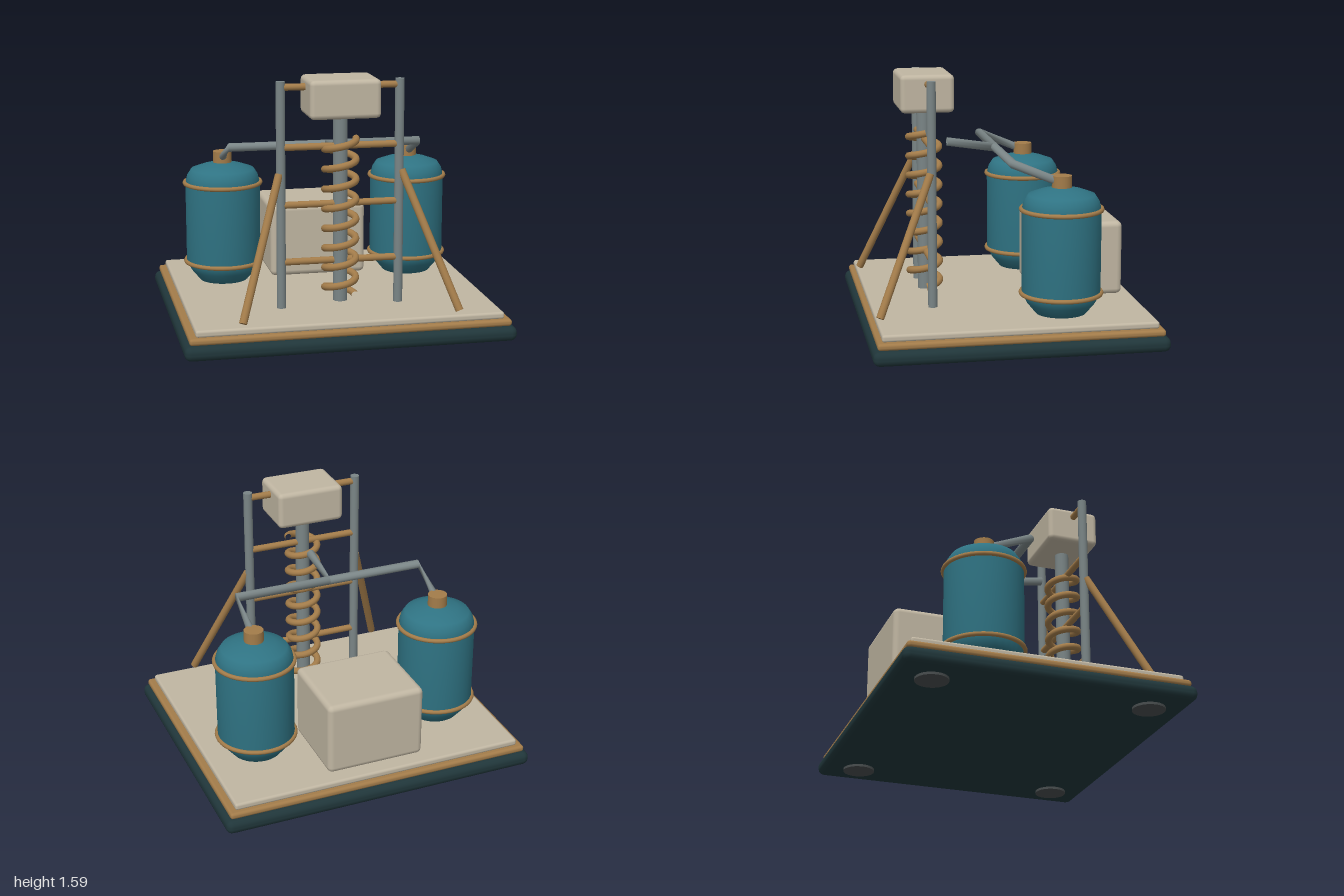
import * as THREE from 'three';
import { RoundedBoxGeometry } from 'three/addons/geometries/RoundedBoxGeometry.js';

const mat = (name, color, side = THREE.FrontSide) => {
  const m = new THREE.MeshStandardMaterial({ color, side });
  m.name = name;
  return m;
};

// Helix rising around the y axis, starting at +x and turning towards the back
class Helix extends THREE.Curve {
  constructor(radius, y0, y1, turns) {
    super();
    Object.assign(this, { radius, y0, y1, turns });
  }
  getPoint(t, target = new THREE.Vector3()) {
    const a = t * this.turns * Math.PI * 2;
    return target.set(this.radius * Math.cos(a), this.y0 + (this.y1 - this.y0) * t, -this.radius * Math.sin(a));
  }
}

// Pipe lofted through rings, each given as a centre and the flat heading it faces
function pipeGeometry(rings, radius, sides = 12) {
  const pos = [], index = [];
  const up = new THREE.Vector3(0, 1, 0);
  for (const [centre, heading] of rings) {
    const right = new THREE.Vector3(...heading).cross(up);
    for (let j = 0; j < sides; j++) {
      const a = (j / sides) * Math.PI * 2;
      const p = new THREE.Vector3(...centre)
        .addScaledVector(right, radius * Math.cos(a))
        .addScaledVector(up, radius * Math.sin(a));
      pos.push(p.x, p.y, p.z);
    }
  }
  for (let i = 0; i < rings.length - 1; i++) {
    for (let j = 0; j < sides; j++) {
      const a = i * sides + j, b = i * sides + (j + 1) % sides;
      index.push(a, b, a + sides, b, b + sides, a + sides);
    }
  }
  const g = new THREE.BufferGeometry();
  g.setAttribute('position', new THREE.Float32BufferAttribute(pos, 3));
  g.setIndex(index);
  g.computeVertexNormals();
  return g;
}

export function createModel() {
  const model = new THREE.Group();
  model.name = 'distillingRig';

  const dark = mat('darkGreen', 0x20363a);
  const brass = mat('brass', 0xa37c4a);
  const cream = mat('cream', 0xc0b6a2);
  const teal = mat('teal', 0x2f7383);
  const steel = mat('steel', 0x7a8586, THREE.DoubleSide);
  const rubber = mat('rubberGrey', 0x484d4e);

  const add = (name, geometry, material, x = 0, y = 0, z = 0, parent = model) => {
    const mesh = new THREE.Mesh(geometry, material);
    mesh.name = name;
    mesh.position.set(x, y, z);
    parent.add(mesh);
    return mesh;
  };
  // Box between two heights
  const box = (name, material, w, d, y0, y1, z, r) =>
    add(name, new RoundedBoxGeometry(w, y1 - y0, d, 2, r), material, 0, (y0 + y1) / 2, z);
  // Round bar between two points
  const bar = (name, material, from, to, r) => {
    const a = new THREE.Vector3(...from), b = new THREE.Vector3(...to);
    const mid = a.clone().add(b).multiplyScalar(0.5);
    const mesh = add(name, new THREE.CylinderGeometry(r, r, a.distanceTo(b), 16), material, mid.x, mid.y, mid.z);
    mesh.quaternion.setFromUnitVectors(new THREE.Vector3(0, 1, 0), b.sub(a).normalize());
  };

  // Stepped base with four feet
  box('basePlinth', dark, 2, 1.755, 0.015, 0.105, 0, 0.04);
  box('baseTrim', brass, 1.94, 1.70, 0.105, 0.147, 0, 0.018);
  box('baseDeck', cream, 1.86, 1.64, 0.143, 0.187, 0, 0.016);
  for (const x of [-0.785, 0.785]) {
    for (const z of [-0.655, 0.655]) {
      add('foot', new THREE.CylinderGeometry(0.098, 0.098, 0.03, 24), rubber, x, 0.015, z);
    }
  }

  // Rear housing
  box('rearHousing', cream, 0.62, 0.54, 0.197, 0.66, -0.48, 0.035);

  // Tower head and centre column
  const tz = 0.45;
  box('towerHead', cream, 0.428, 0.33, 1.352, 1.585, tz, 0.03);
  bar('centreColumn', steel, [0, 0.217, tz], [0, 1.37, tz], 0.044);
  for (const y of [0.47, 0.82, 1.17, 1.53]) {
    bar('rung', brass, [-0.365, y, tz], [0.365, y, tz], 0.021);
  }

  // Coil around the column
  add('coil', new THREE.TubeGeometry(new Helix(0.094, 0.242, 1.212, 8), 256, 0.022, 10), brass, 0, 0, tz);

  const tankProfile = [
    [0, 0.187], [0.153, 0.187], [0.205, 0.25], [0.237, 0.31], [0.238, 0.82],
    [0.225, 0.87], [0.2, 0.908], [0.13, 0.933], [0.05, 0.953], [0, 0.957],
  ].map(([x, y]) => new THREE.Vector2(x, y));

  for (const s of [-1, 1]) {
    // Posts and slanted struts
    bar('post', steel, [s * 0.362, 0.187, tz], [s * 0.362, 1.565, tz], 0.028);
    bar('strut', brass, [s * 0.375, 1.01, 0.46], [s * 0.652, 0.21, 0.802], 0.024);

    // Tanks with bands and a cap
    const tank = new THREE.Group();
    tank.name = s > 0 ? 'leftTank' : 'rightTank';
    tank.position.set(s * 0.606, 0, -0.293);
    model.add(tank);
    add('tankBody', new THREE.LatheGeometry(tankProfile, 32), teal, 0, 0, 0, tank);
    add('tankCap', new THREE.CylinderGeometry(0.06, 0.06, 0.072, 20), brass, 0, 0.985, 0, tank);
    for (const y of [0.31, 0.82]) {
      add('tankBand', new THREE.TorusGeometry(0.241, 0.014, 8, 40), brass, 0, y, 0, tank)
        .rotation.x = Math.PI / 2;
    }

    // Delivery pipe from the tower to the tank, pinched at its bends
    add('pipe', pipeGeometry([
      [[0, 1.143, 0.305], [0, 0, -1]],
      [[0, 1.097, 0], [s, 0, 0]],
      [[s * 0.608, 1.097, 0], [s, 0, 0]],
      [[s * 0.608, 0.985, -0.27], [0, 0, -1]],
    ], 0.027), steel);
  }
  return model;
}
